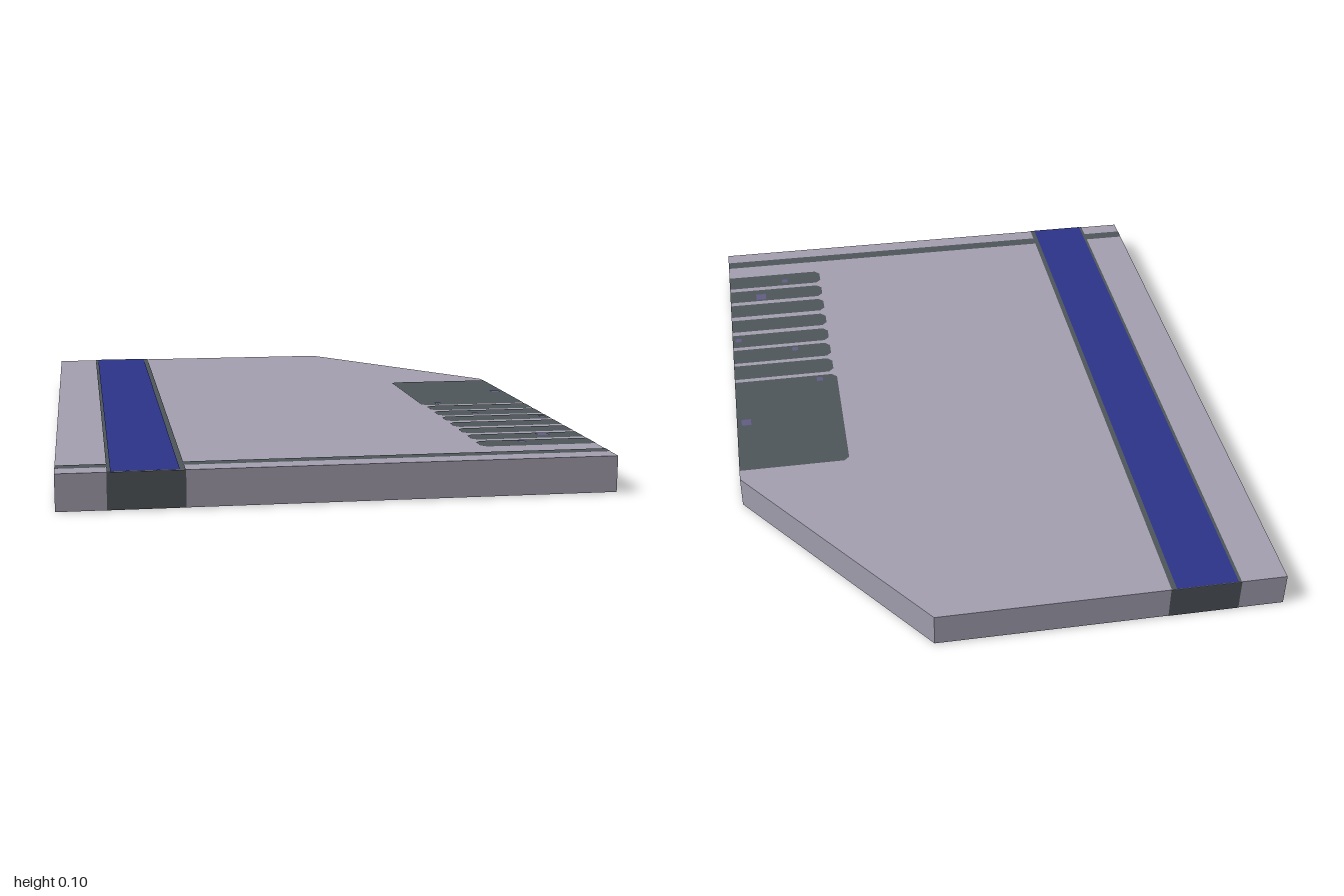
import * as THREE from 'three';

const H = 0.1; // slab thickness
const mat = (name, color) => {
  const m = new THREE.MeshStandardMaterial({ color });
  m.name = name;
  return m;
};

export function createModel() {
  const stone = mat('lavender grey', 0xa4a0b0);
  const slate = mat('slate', 0x4f565b);
  const blue = mat('deep blue', 0x2b3489);
  const violet = mat('dusk violet', 0x625e86);
  const model = new THREE.Group();
  model.name = 'panel';

  const add = (name, geometry, material, parent = model) => {
    const mesh = new THREE.Mesh(geometry, material);
    mesh.name = name;
    parent.add(mesh);
    return mesh;
  };
  const outline = (points, sign) =>
    new THREE.Shape(points.map(([x, z]) => new THREE.Vector2(x, sign * z)));

  // Slab with one cut corner
  const slab = new THREE.ExtrudeGeometry(
    outline([[-0.75, 1], [0.75, 1], [0.75, -0.33], [0.25, -1], [-0.75, -1]], -1),
    { depth: H, bevelEnabled: false }
  );
  add('slab', slab.rotateX(-Math.PI / 2), stone);

  // Painted face on both the top and the underside
  const paint = (name, points, material, lift = 0.001) => {
    const top = new THREE.ShapeGeometry(outline(points, -1)).rotateX(-Math.PI / 2);
    add(name + 'Top', top, material).position.y = H + lift;
    const under = new THREE.ShapeGeometry(outline(points, 1)).rotateX(Math.PI / 2);
    add(name + 'Underside', under, material).position.y = -lift;
  };
  const rect = (x0, x1, z0, z1) => [[x0, z0], [x1, z0], [x1, z1], [x0, z1]];

  // Long blue stripe with slate borders, and the thin cross line
  paint('stripeBorder', rect(-0.617, -0.415, -1, 1), slate);
  paint('stripe', rect(-0.608, -0.43, -1, 1), blue, 0.002);
  paint('crossLine', rect(-0.75, 0.75, 0.905, 0.945), slate);

  // Comb of slate bars with clipped inner corners
  const bars = [[-0.29, 0.173], [0.189, 0.267], [0.283, 0.361], [0.378, 0.452],
    [0.473, 0.547], [0.569, 0.645], [0.665, 0.738], [0.758, 0.835]];
  bars.forEach(([z0, z1], i) => {
    const x = i ? 0.42 : 0.412, c = 0.016;
    paint('bar' + (i + 1), [[x + c, z0], [0.75, z0], [0.75, z1], [x + c, z1],
      [x, z1 - c], [x, z0 + c]], slate);
  });

  // Small violet flecks on the bars
  const flecks = [[0.72, -0.05, 0.03], [0.47, 0.15, 0.02], [0.73, 0.42, 0.02],
    [0.54, 0.34, 0.02], [0.64, 0.69, 0.035], [0.55, 0.785, 0.02]];
  for (const [x, z, s] of flecks) {
    paint('fleck', rect(x - s / 2, x + s / 2, z - s / 2, z + s / 2), violet, 0.002);
  }

  // Stripe ends on the front and back edges
  for (const side of [1, -1]) {
    const end = add(side > 0 ? 'stripeEndFront' : 'stripeEndBack',
      new THREE.PlaneGeometry(0.204, H), slate);
    end.position.set(-0.516, H / 2, side * 1.001);
    if (side < 0) end.rotation.y = Math.PI;
  }

  // Bands on the two long edges
  const band = (name, side, z0, z1, material, lift = 0.001) => {
    const mesh = add(name, new THREE.PlaneGeometry(z1 - z0, H), material);
    mesh.position.set(side * (0.75 + lift), H / 2, (z0 + z1) / 2);
    mesh.rotation.y = side * Math.PI / 2;
  };
  band('crossLineEndRight', -1, 0.905, 0.945, slate);
  band('crossLineEndLeft', 1, 0.905, 0.95, slate);
  const dark = [[-0.285, 0.172], [0.2, 0.275], [0.29, 0.362], [0.378, 0.46],
    [0.48, 0.55], [0.582, 0.66], [0.666, 0.745], [0.762, 0.842]];
  for (const [z0, z1] of dark) band('barEnd', 1, z0, z1, slate);
  const tint = [[-0.07, -0.03], [0.145, 0.163], [0.318, 0.348], [0.4, 0.45],
    [0.77, 0.81], [0.912, 0.94]];
  for (const [z0, z1] of tint) band('violetBand', 1, z0, z1, violet, 0.002);

  return model;
}
